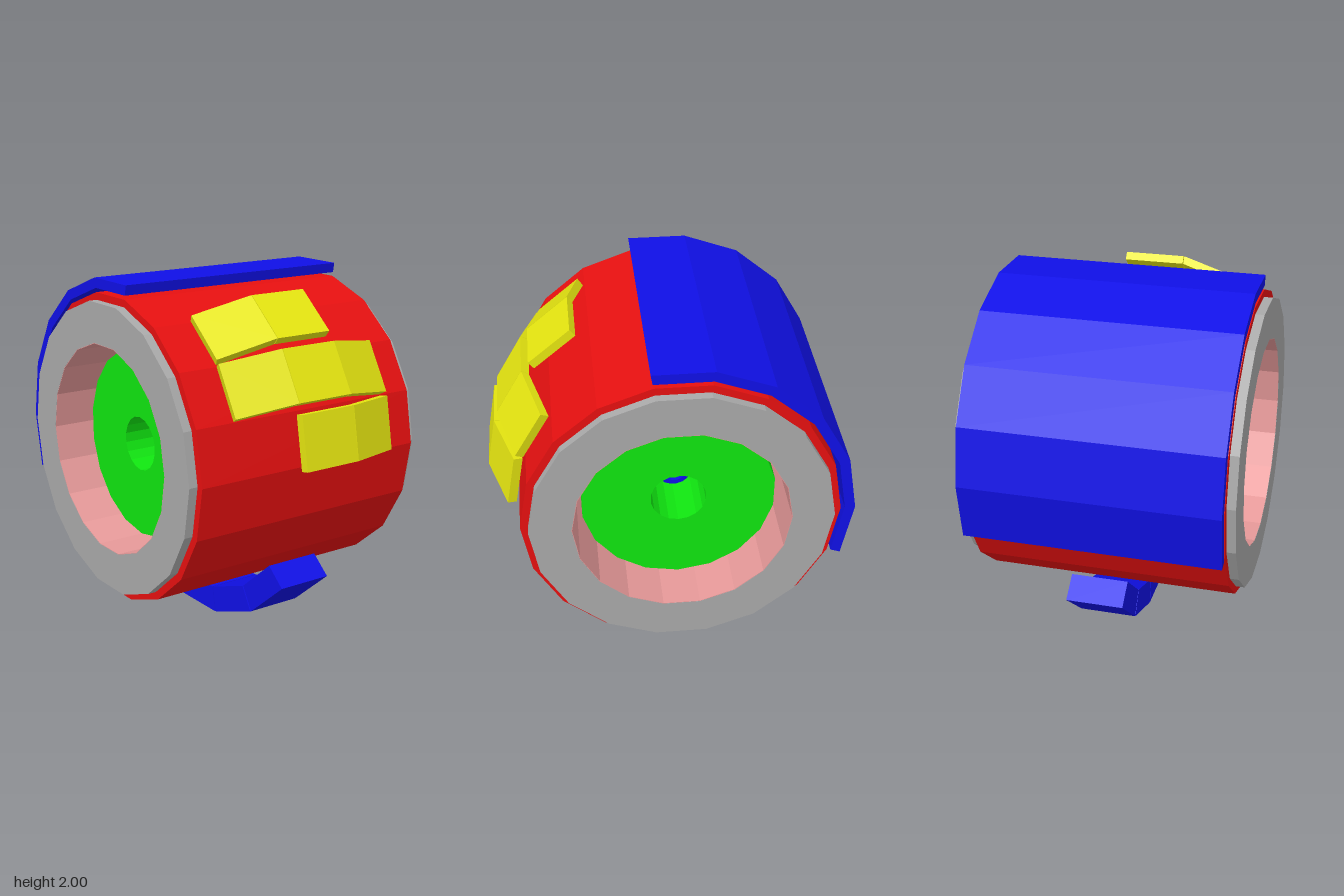
import * as THREE from 'three';

const mat = (name, color) => {
  const m = new THREE.MeshStandardMaterial({ color, flatShading: true });
  m.name = name;
  return m;
};
const rad = THREE.MathUtils.degToRad;
const polar = (r, deg) => new THREE.Vector2(r * Math.cos(rad(deg)), r * Math.sin(rad(deg)));

// Extrusion centred on its depth axis
function slab(points, depth, hole) {
  const shape = new THREE.Shape(points);
  if (hole) shape.holes.push(new THREE.Path(hole));
  const geo = new THREE.ExtrudeGeometry(shape, { depth, bevelEnabled: false });
  return geo.translate(0, 0, -depth / 2);
}

// 18-sided tube along z
function tube(outer, inner, depth, phase = 0) {
  const ring = (r) => Array.from({ length: 18 }, (_, i) => polar(r, i * 20 + phase));
  return slab(ring(outer), depth, ring(inner));
}

// Faceted curved plate between two angles
function arcPlate(outer, inner, from, to, steps, depth) {
  const angles = Array.from({ length: steps + 1 }, (_, i) => from + (to - from) * i / steps);
  return slab([
    ...angles.map((a) => polar(outer, a)),
    ...angles.slice().reverse().map((a) => polar(inner, a)),
  ], depth);
}

export function createModel() {
  const root = new THREE.Group();
  root.name = 'drum';
  const red = mat('red', 0xe61010);
  const green = mat('green', 0x10e610);
  const blue = mat('blue', 0x1010e6);
  const yellow = mat('yellow', 0xe6e610);
  const grey = mat('grey', 0xa9a9a9);
  const pink = mat('pink', 0xe69999);

  const body = new THREE.Group();
  body.name = 'body';
  body.position.set(-0.045, 1.065, 0);
  root.add(body);
  const add = (name, geo, material) => {
    const mesh = new THREE.Mesh(geo, material);
    mesh.name = name;
    body.add(mesh);
    return mesh;
  };

  // Nested shells
  add('outerShell', tube(0.87, 0.82, 1.43), red);
  add('innerShell', tube(0.828, 0.597, 1.53), grey);
  add('lining', tube(0.597, 0.594, 1.528), pink);

  // Core wheel and the fine tubes inside its bore
  add('core', tube(0.54, 0.155, 1.09, 10), green);
  add('boreTubeOuter', tube(0.1, 0.075, 0.6), blue);
  add('boreTubeMiddle', tube(0.057, 0.03, 0.6), green);
  add('boreTubeInner', tube(0.014, 0.008, 0.6), red);

  // Wide curved cover over the upper right side
  add('coverPlate', arcPlate(0.95, 0.893, 80, 200, 6, 1.43), blue);

  // Row of blocks hanging underneath
  for (let i = 0; i < 5; i++) {
    const mid = 230 + i * 20;
    add('lowerBlock', arcPlate(1.076, 0.924, mid - 9.75, mid + 9.75, 1, 0.32), blue);
  }

  // Tiles: profiles in (z, radius), bent inwards at front and back
  const flat = [[-0.172, 0.98], [0.172, 0.98], [0.172, 1.028], [-0.172, 1.028]];
  const bent = [[0.176, 0.98], [0.494, 0.872], [0.51, 0.92], [0.176, 1.028]];
  const profiles = {
    flatTile: flat,
    frontTile: bent,
    backTile: bent.map(([z, r]) => [-z, r]),
  };
  const rows = [
    [50, ['flatTile', 'frontTile']],
    [30, ['flatTile', 'frontTile', 'backTile']],
    [10, ['flatTile', 'backTile']],
  ];
  for (const [deg, names] of rows) {
    const c = Math.cos(rad(deg)), s = Math.sin(rad(deg));
    const basis = new THREE.Matrix4().makeBasis(
      new THREE.Vector3(0, 0, 1), new THREE.Vector3(c, s, 0), new THREE.Vector3(-s, c, 0));
    for (const name of names) {
      const pts = profiles[name].map(([z, r]) => new THREE.Vector2(z, r));
      add(name, slab(pts, 0.3).applyMatrix4(basis), yellow);
    }
  }
  return root;
}
